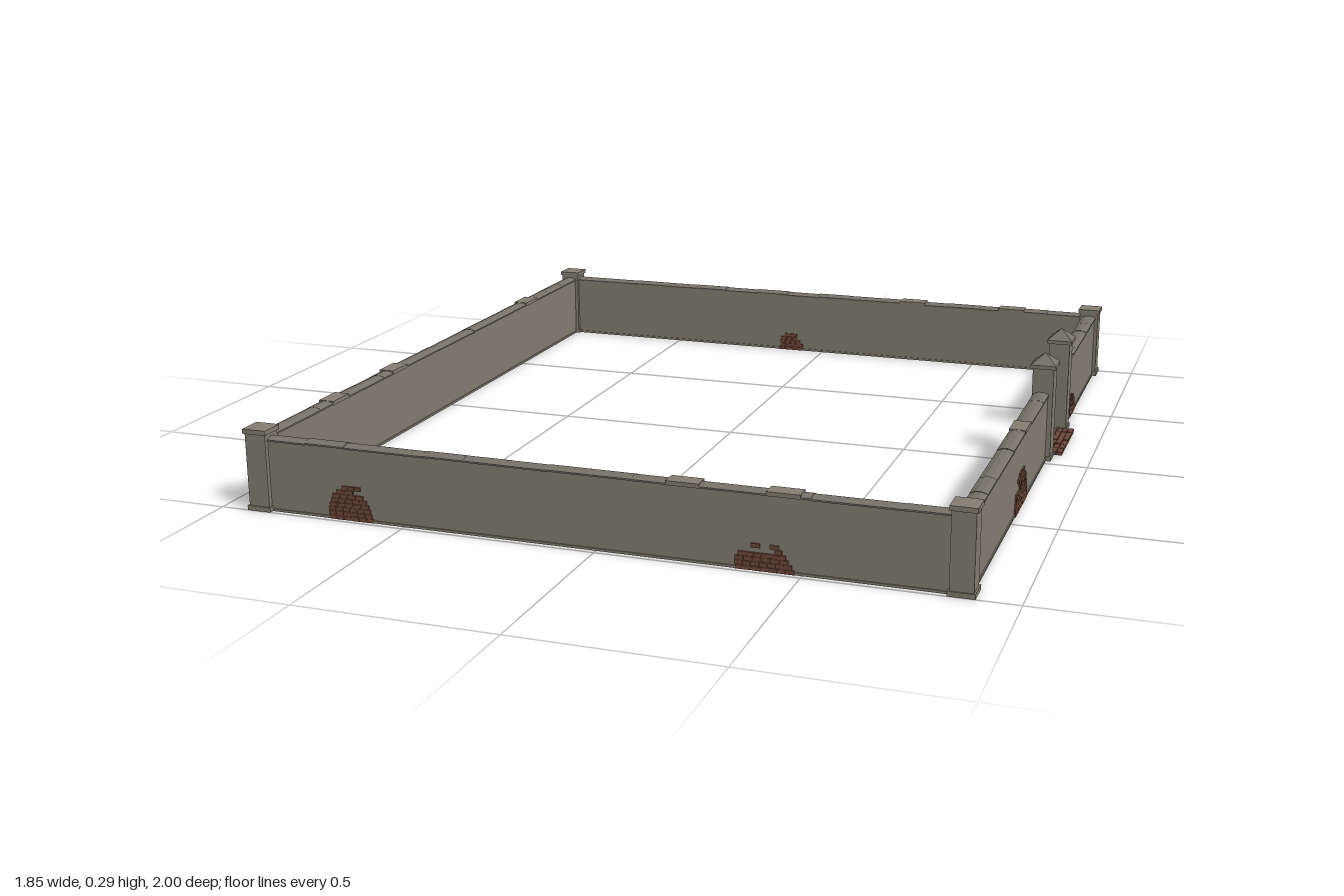
import * as THREE from 'three';

const mat = (name, color) => Object.assign(new THREE.MeshStandardMaterial({ color }), { name });

export function createModel() {
  const plaster = mat('weathered plaster', 0x858072);
  const stone = mat('coping stone', 0x77736a);
  const brick = mat('exposed brick', 0x70493a);
  const mortar = mat('dark mortar', 0x4a3028);
  const model = new THREE.Group();
  model.name = 'walledEnclosure';

  let seed = 7;
  const rand = () => (seed = (seed * 16807) % 2147483647) / 2147483647;

  // box standing on height y
  function box(parent, name, m, w, h, d, x, y, z) {
    const mesh = new THREE.Mesh(new THREE.BoxGeometry(w, h, d), m);
    mesh.name = name;
    mesh.position.set(x, y + h / 2, z);
    parent.add(mesh);
    return mesh;
  }

  const L = -0.895, R = 0.865, Z = 0.968, WALL = 0.036;

  // ridged coping section: small eaves, sloping sides, flat top
  const section = new THREE.Shape([
    [-0.021, 0], [0.021, 0], [0.021, 0.004], [0.007, 0.009], [-0.007, 0.009], [-0.021, 0.004],
  ].map(([x, y]) => new THREE.Vector2(x, y)));

  // wall run along local x, outer face towards local +z
  function wall(name, length, x, z, turn, flatStones) {
    const g = new THREE.Group();
    g.name = name;
    g.position.set(x, 0, z);
    g.rotation.y = turn;
    box(g, 'wallBody', plaster, length, 0.182, WALL, 0, 0, 0);
    box(g, 'wallFoot', plaster, length, 0.006, 0.042, 0, 0, 0);
    const n = Math.max(2, Math.round(length / 0.11)), step = length / n;
    for (let i = 0; i < n; i++) {
      const geo = new THREE.ExtrudeGeometry(section, { depth: step, bevelEnabled: false });
      geo.rotateY(Math.PI / 2);
      const cap = new THREE.Mesh(geo, stone);
      cap.name = 'copingStone';
      cap.position.set(-length / 2 + i * step, 0.181 + (rand() - 0.5) * 0.002, 0);
      g.add(cap);
    }
    for (const s of flatStones) box(g, 'flatCopingStone', plaster, 0.08, 0.0105, 0.0425, s, 0.181, 0);
    model.add(g);
    return g;
  }

  // ragged patch of bare bricks climbing from the ground
  function patch(parent, center, width, height, side = 1) {
    const g = new THREE.Group();
    g.name = 'brickPatch';
    const rowH = 0.011, rows = Math.round(height / rowH);
    for (let r = 0; r < rows; r++) {
      const t = r / rows;
      const half = (width / 2) * (1 - 0.75 * t * t);
      const shift = (rand() - 0.5) * 0.012;
      const bricks = Math.max(1, Math.round((2 * half) / 0.02)), bw = (2 * half) / bricks;
      for (let i = 0; i < bricks; i++) {
        if (t > 0.55 && rand() < 0.25) continue;
        box(g, 'brick', brick, bw - 0.001, rowH - 0.0008, 0.004,
          center + shift - half + (i + 0.5) * bw, r * rowH, side * (WALL / 2 + 0.002 + rand() * 0.001));
      }
    }
    parent.add(g);
  }

  const mid = (L + R) / 2, lenX = R - L - 0.05, lenZ = 2 * Z - 0.05;

  // front and back walls
  const front = wall('frontWall', lenX, mid, Z - 0.002, 0, [0.23, 0.47]);
  patch(front, -0.645 - mid, 0.12, 0.085);
  patch(front, 0.41 - mid, 0.14, 0.066);
  const back = wall('backWall', lenX, mid, -Z, Math.PI, [mid - 0.3, mid - 0.62]);
  patch(back, mid - 0.60, 0.11, 0.085);
  patch(back, mid + 0.09, 0.08, 0.05);
  patch(back, mid + 0.605, 0.08, 0.085);
  patch(back, mid + 0.11, 0.08, 0.05, -1);

  // left-hand wall
  const closed = wall('closedSideWall', lenZ, L, 0, -Math.PI / 2, [-0.58, 0.3, 0.62]);
  patch(closed, -0.5, 0.11, 0.08);
  patch(closed, 0.45, 0.11, 0.08);

  // gate side: two runs either side of the opening
  const gateZ = [-0.053, -0.335];
  function gateRun(name, z0, z1) {
    const c = (z0 + z1) / 2;
    return [wall(name, z1 - z0, R, c, Math.PI / 2, [c - (name === 'longGateWall' ? 0.3 : -0.42)]), c];
  }
  const [longRun, lc] = gateRun('longGateWall', gateZ[0], 0.943);
  patch(longRun, lc - 0.37, 0.165, 0.098);
  patch(longRun, lc - 0.43, 0.08, 0.06, -1);
  const [shortRun, sc] = gateRun('shortGateWall', -0.943, gateZ[1]);
  patch(shortRun, sc + 0.49, 0.105, 0.062);
  patch(shortRun, sc + 0.5, 0.14, 0.085, -1);

  // corner posts with foot and slab cap
  for (const x of [L, R]) for (const z of [-Z, Z]) {
    const post = new THREE.Group();
    post.name = 'cornerPost';
    post.position.set(x, 0, z);
    box(post, 'postFoot', plaster, 0.064, 0.012, 0.064, 0, 0, 0);
    box(post, 'postShaft', plaster, 0.056, 0.19, 0.056, 0, 0.01, 0);
    box(post, 'postCap', plaster, 0.064, 0.012, 0.064, 0, 0.198, 0);
    model.add(post);
  }

  // taller gate pillars with pyramid tops
  for (const z of gateZ) {
    const pillar = new THREE.Group();
    pillar.name = 'gatePillar';
    pillar.position.set(R + 0.003, 0, z);
    box(pillar, 'pillarFoot', plaster, 0.062, 0.012, 0.062, 0, 0, 0);
    box(pillar, 'pillarShaft', plaster, 0.056, 0.25, 0.056, 0, 0.01, 0);
    box(pillar, 'pillarCap', plaster, 0.068, 0.01, 0.068, 0, 0.254, 0);
    const top = new THREE.Mesh(new THREE.ConeGeometry(0.034 * Math.SQRT2, 0.029, 4, 1).toNonIndexed(), stone);
    top.geometry.rotateY(Math.PI / 4);
    top.geometry.computeVertexNormals();
    top.name = 'pillarPyramid';
    top.position.y = 0.264 + 0.0145;
    pillar.add(top);
    model.add(pillar);
  }

  // brick paving in the gateway
  const paving = new THREE.Group();
  paving.name = 'gatePaving';
  paving.position.set(0.86, 0, -0.196);
  box(paving, 'pavingBed', mortar, 0.118, 0.006, 0.222, 0, 0, 0);
  const cols = 8, rows = 6, cw = 0.12 / cols, rl = 0.226 / rows;
  for (let i = 0; i < cols; i++) for (let j = 0; j < rows; j++) {
    box(paving, 'pavingBrick', brick, cw - 0.0015, 0.009 + rand() * 0.002, rl - 0.002,
      -0.06 + (i + 0.5) * cw, 0, -0.113 + (j + 0.5) * rl);
  }
  model.add(paving);

  return model;
}
